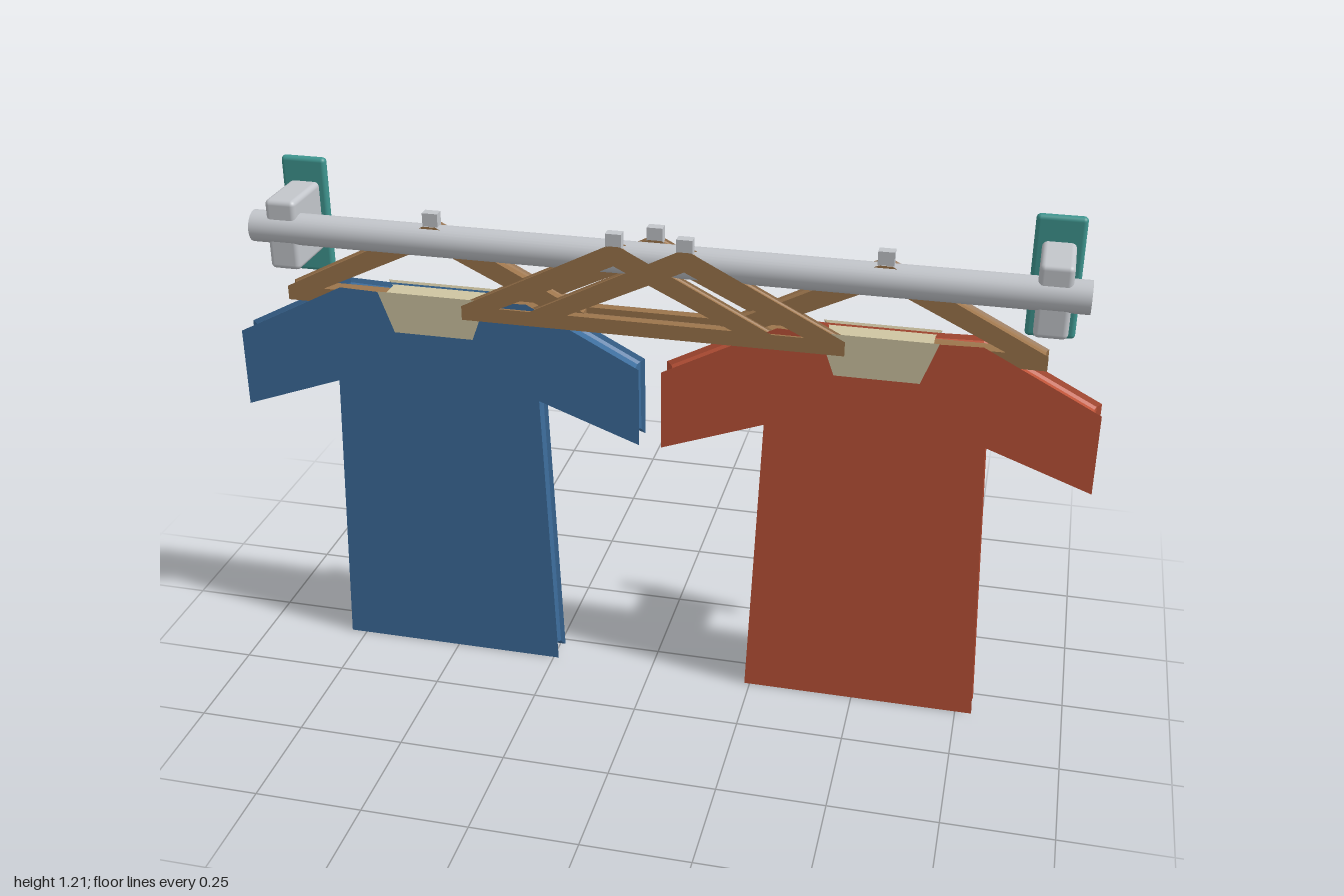
import * as THREE from 'three';
import { RoundedBoxGeometry } from 'three/addons/geometries/RoundedBoxGeometry.js';

const mat = (name, color) => Object.assign(new THREE.MeshStandardMaterial({ color }), { name });

export function createModel() {
  const model = new THREE.Group();
  model.name = 'clothesRail';
  const metal = mat('metal grey', 0xc3c6cb);
  const teal = mat('teal', 0x3f9690);
  const wood = mat('wood brown', 0x9c754c);
  const cream = mat('cream', 0xcfc5a2);
  const blue = mat('blue', 0x3d6d9c);
  const red = mat('red', 0xbd5338);

  const add = (name, geometry, material, x = 0, y = 0, z = 0, parent = model) => {
    const mesh = new THREE.Mesh(geometry, material);
    mesh.name = name;
    mesh.position.set(x, y, z);
    parent.add(mesh);
    return mesh;
  };

  const points = (list) => list.map(([x, y]) => new THREE.Vector2(x, y));
  const mirrored = (half) => points([...half, ...half.map(([x, y]) => [-x, y]).reverse()]);

  // Flat panel whose rim is grooved inwards between two full-size faces
  const grooved = (outline, depth, groove, lip, hole) => {
    const shape = new THREE.Shape(outline);
    if (hole) shape.holes.push(new THREE.Path(hole));
    const geometry = new THREE.ExtrudeGeometry(shape, {
      depth: depth - 2 * lip, bevelEnabled: true, bevelThickness: lip,
      bevelSize: -groove, bevelSegments: 2,
    });
    return geometry.translate(0, 0, lip - depth / 2);
  };

  // Rail
  const railY = 1.08, railZ = 0.053;
  const rail = add('rail', new THREE.CylinderGeometry(0.037, 0.037, 1.9, 32), metal, 0, railY, railZ);
  rail.rotation.z = Math.PI / 2;

  // Wall brackets and their mounting plates
  for (const side of [-1, 1]) {
    const group = new THREE.Group();
    group.name = side > 0 ? 'leftBracket' : 'rightBracket';
    group.position.x = side * 0.873;
    model.add(group);
    add('bracketArm', new RoundedBoxGeometry(0.074, 0.168, 0.154, 3, 0.012), metal, 0, 1.069, 0.001, group);
    add('mountingPlate', new RoundedBoxGeometry(0.11, 0.284, 0.022, 3, 0.01), teal, 0, 1.068, -0.079, group);
  }

  // Hangers: a wooden triangle with a small metal peg on top
  const hangerGeometry = (depth) => grooved(
    mirrored([[0.36, 0.908], [0.36, 0.942], [0.015, 1.118]]), depth, 0.006, depth * 0.25,
    points([[-0.27, 0.943], [0.27, 0.943], [0, 1.072]]));
  const thin = hangerGeometry(0.024), thick = hangerGeometry(0.04);
  const peg = new THREE.BoxGeometry(0.036, 0.05, 0.024);
  const hangers = [
    ['rightShirtHanger', -0.515, 0.05, thick], ['leftShirtHanger', 0.515, 0.05, thick],
    ['frontRightHanger', -0.08, 0.081, thin], ['frontLeftHanger', 0.08, 0.0808, thin],
    ['backHanger', 0, 0.023, thin],
  ];
  for (const [name, x, z, geometry] of hangers) {
    const group = new THREE.Group();
    group.name = name;
    group.position.set(x, 0, z);
    model.add(group);
    add('hangerFrame', geometry, wood, 0, 0, 0, group);
    add('hangerPeg', peg, metal, 0, 1.122, 0, group);
  }

  // Shirts with collars
  const shirtGeometry = grooved(mirrored([
    [0.276, 0], [0.248, 0.715], [0.487, 0.628], [0.487, 0.82], [0.225, 0.956], [0.125, 0.953],
  ]), 0.063, 0.015, 0.013);
  const collarGeometry = grooved(mirrored([[0.095, 0.858], [0.131, 0.957]]), 0.075, 0.012, 0.013);
  for (const [name, x, color] of [['rightShirt', -0.513, blue], ['leftShirt', 0.513, red]]) {
    const group = new THREE.Group();
    group.name = name;
    group.position.set(x, 0, 0.0515);
    model.add(group);
    add('shirtBody', shirtGeometry, color, 0, 0, 0, group);
    add('collar', collarGeometry, cream, 0, 0, 0, group);
  }
  return model;
}
